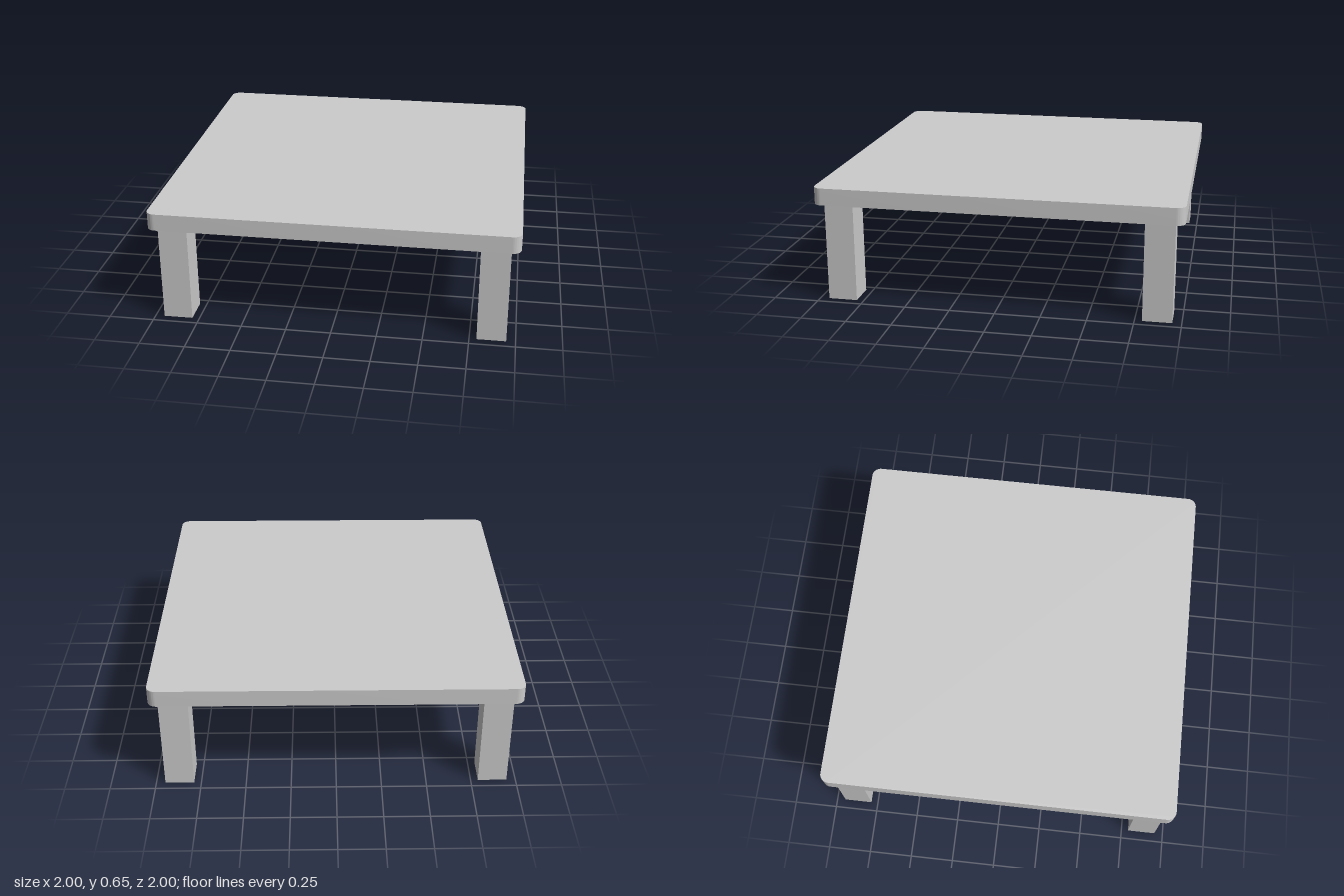
import * as THREE from 'three';
import { toCreasedNormals } from 'three/addons/utils/BufferGeometryUtils.js';

const HALF = 1, RADIUS = 0.05;
const LEG_HEIGHT = 0.555, TOP_HEIGHT = 0.65;
const LEG_WIDTH = 0.16, LEG_CENTRE = 0.87;

// Square outline with rounded corners
function roundedSquare(h, r) {
  const shape = new THREE.Shape();
  const c = h - r;
  shape.absarc(c, c, r, 0, Math.PI / 2);
  shape.absarc(-c, c, r, Math.PI / 2, Math.PI);
  shape.absarc(-c, -c, r, Math.PI, Math.PI * 1.5);
  shape.absarc(c, -c, r, Math.PI * 1.5, Math.PI * 2);
  shape.closePath();
  return shape;
}

export function createModel() {
  const group = new THREE.Group();
  group.name = 'lowTable';
  const material = new THREE.MeshStandardMaterial({ color: 0xcccccc });

  // Table top: a slab with smooth vertical corners and sharp rims
  const slab = new THREE.ExtrudeGeometry(roundedSquare(HALF, RADIUS), {
    depth: TOP_HEIGHT - LEG_HEIGHT, bevelEnabled: false, curveSegments: 10,
  });
  slab.rotateX(-Math.PI / 2);
  const top = new THREE.Mesh(toCreasedNormals(slab, 0.6), material);
  top.name = 'tableTop';
  top.position.y = LEG_HEIGHT;
  group.add(top);

  // Four square legs, set in slightly from the edge
  const legGeometry = new THREE.BoxGeometry(LEG_WIDTH, LEG_HEIGHT, LEG_WIDTH);
  for (const [sx, side] of [[1, 'Left'], [-1, 'Right']]) {
    for (const [sz, end] of [[1, 'front'], [-1, 'back']]) {
      const leg = new THREE.Mesh(legGeometry, material);
      leg.name = `${end}${side}Leg`;
      leg.position.set(sx * LEG_CENTRE, LEG_HEIGHT / 2, sz * LEG_CENTRE);
      group.add(leg);
    }
  }
  return group;
}
